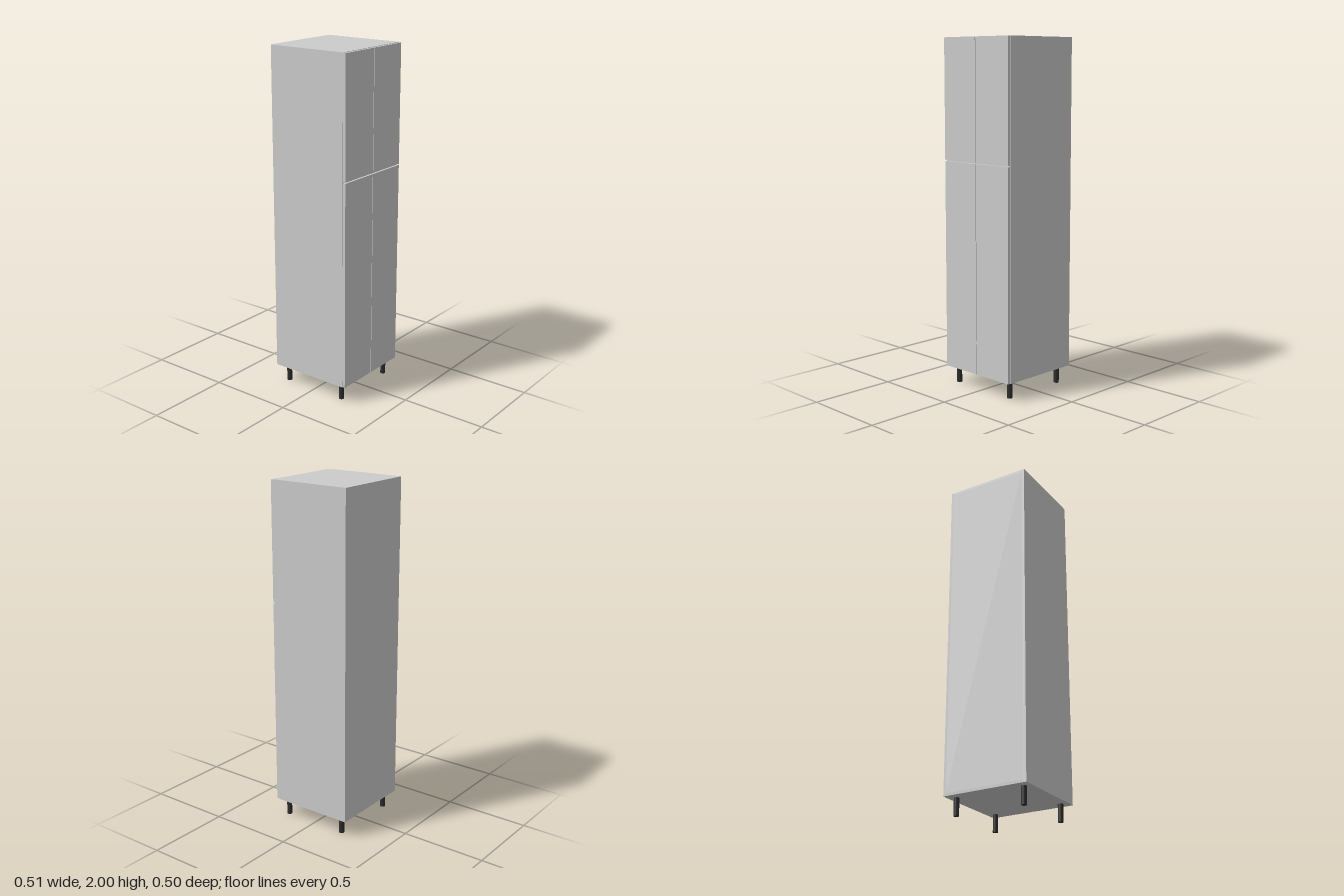
import * as THREE from 'three';

export function createModel() {
  const root = new THREE.Group();
  root.name = 'tallCabinet';
  const grey = new THREE.MeshStandardMaterial({ color: 0xcccccc });
  const dark = new THREE.MeshStandardMaterial({ color: 0x2e2e2e });

  // Adds a panel given its minimum and maximum corners
  function panel(name, x0, x1, y0, y1, z0, z1) {
    const mesh = new THREE.Mesh(new THREE.BoxGeometry(x1 - x0, y1 - y0, z1 - z0), grey);
    mesh.position.set((x0 + x1) / 2, (y0 + y1) / 2, (z0 + z1) / 2);
    mesh.name = name;
    root.add(mesh);
  }

  const W = 0.254, T = 0.015;          // half width, board thickness
  const base = 0.1, top = 2;
  const back = -0.253, front = 0.236, doorFace = 0.252;
  const split = 1.309, gap = 0.003;    // height of the door split, half gap

  // Carcass
  panel('rightSidePanel', -W, -W + T, base, top, back, front);
  panel('leftSidePanel', W - T, W, base, top, back, front);
  panel('topPanel', -W + T, W - T, top - T, top, back, front);
  panel('bottomPanel', -W + T, W - T, base, base + T, back, front);
  panel('backPanel', -W + T, W - T, base + T, top - T, back, back + 0.006);
  panel('middleShelf', -W + T, W - T, split - T / 2, split + T / 2, back + 0.006, front);

  // Two pairs of doors
  for (const [side, x0, x1] of [['right', -0.2515, -0.002], ['left', 0.002, 0.2515]]) {
    panel(side + 'LowerDoor', x0, x1, base + 0.001, split - gap, front, doorFace);
    panel(side + 'UpperDoor', x0, x1, split + gap, top - 0.002, front, doorFace);
  }

  // Legs
  const legGeometry = new THREE.CylinderGeometry(0.015, 0.015, base, 24);
  for (const x of [-0.207, 0.207]) {
    for (const z of [-0.196, 0.194]) {
      const leg = new THREE.Mesh(legGeometry, dark);
      leg.position.set(x, base / 2, z);
      leg.name = (z > 0 ? 'front' : 'back') + (x > 0 ? 'Left' : 'Right') + 'Leg';
      root.add(leg);
    }
  }
  return root;
}
